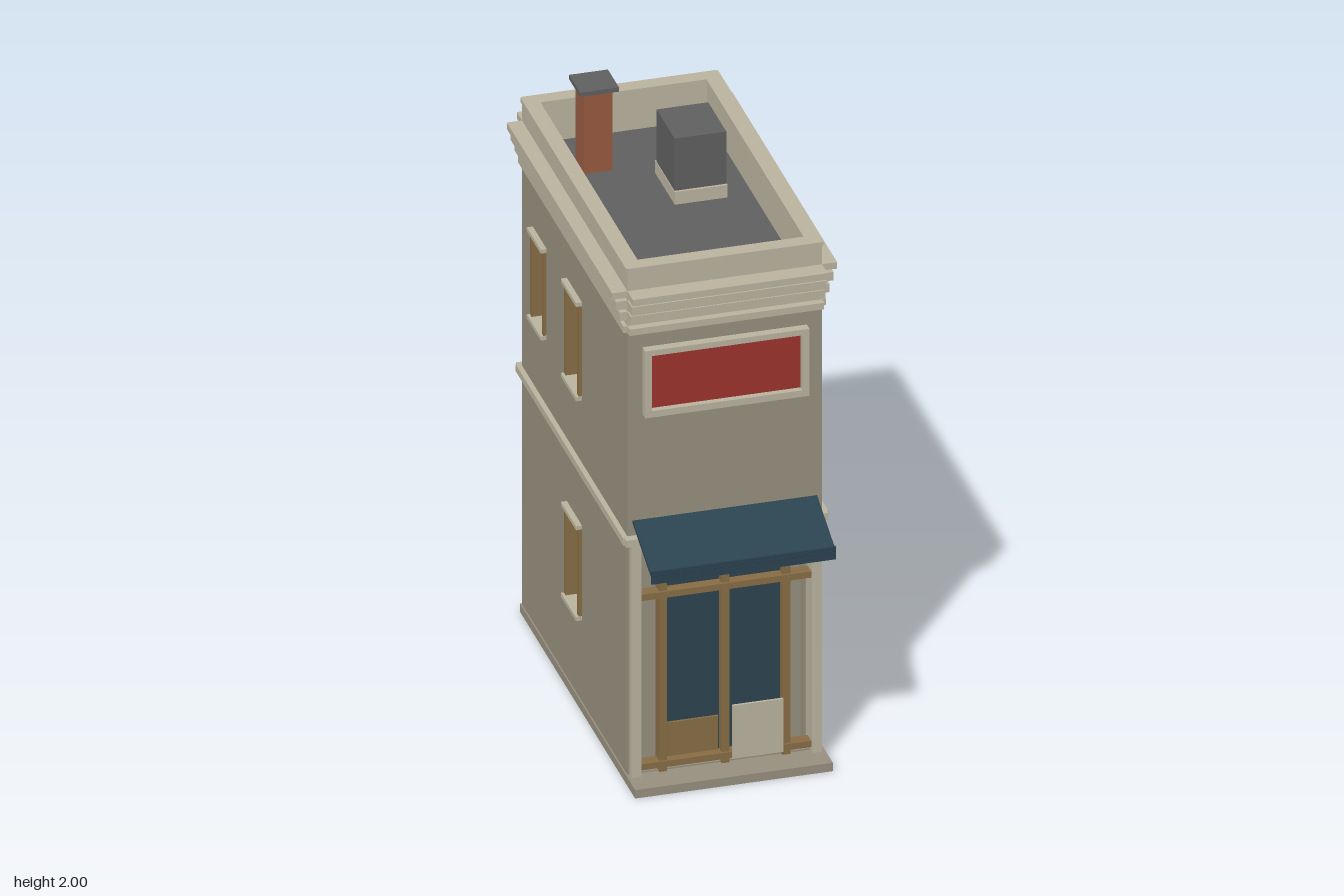
import * as THREE from 'three';

const mat = (name, color) => Object.assign(new THREE.MeshStandardMaterial({ color }), { name });
const M = {
  wall: mat('taupe wall', 0x968e7d),
  trim: mat('cream trim', 0xb9b29e),
  wood: mat('brown wood', 0x866c45),
  glass: mat('dark glass', 0x2d444f),
  awning: mat('navy awning', 0x2b4250),
  sign: mat('red sign', 0x9c332d),
  roof: mat('grey roof', 0x5f5f5f),
  brick: mat('brick', 0x96593f),
};

// box given by its min and max extents
function box(parent, name, m, x0, x1, y0, y1, z0, z1) {
  const mesh = new THREE.Mesh(new THREE.BoxGeometry(x1 - x0, y1 - y0, z1 - z0), m);
  mesh.position.set((x0 + x1) / 2, (y0 + y1) / 2, (z0 + z1) / 2);
  mesh.name = name;
  parent.add(mesh);
  return mesh;
}

function rect(Type, x0, x1, y0, y1) {
  const p = new Type();
  p.moveTo(x0, y0); p.lineTo(x1, y0); p.lineTo(x1, y1); p.lineTo(x0, y1); p.closePath();
  return p;
}

// rectangular panel with rectangular holes, front face on local z = z1
function panel(parent, name, m, outer, holes, z0, z1) {
  const shape = rect(THREE.Shape, ...outer);
  holes.forEach(h => shape.holes.push(rect(THREE.Path, ...h)));
  const geo = new THREE.ExtrudeGeometry(shape, { depth: z1 - z0, bevelEnabled: false });
  const mesh = new THREE.Mesh(geo, m);
  mesh.position.z = z0;
  mesh.name = name;
  parent.add(mesh);
}

// recessed window: u = centre along the wall, w = overall width, y0..y1 = overall height
function addWindow(parent, { u, w, y0, y1 }) {
  const g = new THREE.Group();
  g.name = 'window';
  g.position.x = u;
  const h = w / 2;
  box(g, 'windowGlass', M.glass, -h, h, y0, y1, -0.042, -0.033);
  box(g, 'windowSill', M.trim, -h - 0.003, h + 0.003, y0, y0 + 0.014, -0.033, 0.02);
  box(g, 'windowLintel', M.trim, -h - 0.003, h + 0.003, y1 - 0.014, y1, -0.033, 0.02);
  for (const s of [-1, 1]) {
    const a = s * h, b = s * (h - 0.018);
    box(g, 'windowJamb', M.wood, Math.min(a, b), Math.max(a, b), y0 + 0.014, y1 - 0.014, -0.033, 0.01);
  }
  parent.add(g);
}

const X = 0.32, ZB = -0.67, ZF = 0.515, ZC = (ZB + ZF) / 2, T = 0.045;
const TOP = 1.83, BAND = 1.61;

// one side of the building in a local frame, outward = +z
function facade(name, width, inset, windows, doors, proj) {
  const g = new THREE.Group();
  g.name = name;
  const h = width / 2, i = h - inset;
  const holes = windows.map(o => [o.u - o.w / 2, o.u + o.w / 2, o.y0, o.y1]).concat(doors);
  panel(g, 'wall', M.wall, [-i, i, 0.03, BAND], holes, -T, 0);
  box(g, 'parapet', M.trim, -i, i, BAND, TOP, -T, 0);
  box(g, 'coping', M.trim, -h, h, TOP, 1.845, -T - 0.002, 0.005);
  box(g, 'beltCourse', M.trim, -h - 0.012, h + 0.012, 0.86, 0.885, 0, 0.017 + proj);
  // stepped cornice
  [[1.615, 1.638, 0.013], [1.66, 1.69, 0.025], [1.7, 1.73, 0.038], [1.74, 1.763, 0.05]].forEach(([a, b, d]) =>
    box(g, 'corniceTier', M.trim, -h, h, a, b, 0, d + proj));
  windows.forEach(o => addWindow(g, o));
  return g;
}

export function createModel() {
  const root = new THREE.Group();
  root.name = 'shopBuilding';

  // base and roof
  box(root, 'baseSlab', M.wall, -0.325, 0.325, 0, 0.03, -0.675, 0.62);
  box(root, 'roofDeck', M.roof, -X + T, X - T, 1.68, 1.7, ZB + T, ZF - T);

  // four walls
  const sideWindows = s => [
    { u: s * (ZC + 0.08), w: 0.165, y0: 1.108, y1: 1.46 },
    { u: s * (ZC + 0.47), w: 0.15, y0: 1.12, y1: 1.446 },
    { u: s * (ZC + 0.08), w: 0.165, y0: 0.32, y1: 0.66 },
  ];
  for (const s of [1, -1]) {
    const side = facade(s > 0 ? 'leftSide' : 'rightSide', ZF - ZB, T, sideWindows(s), [], 0);
    side.rotation.y = s * Math.PI / 2;
    side.position.set(s * X, 0, ZC);
    root.add(side);
  }
  const backWindows = [];
  for (const u of [-0.14, 0.14])
    for (const y of [0.33, 1.1]) backWindows.push({ u, w: 0.165, y0: y, y1: y + 0.34 });
  const back = facade('backSide', 2 * X, 0, backWindows, [], 0.008);
  back.rotation.y = Math.PI;
  back.position.z = ZB;
  root.add(back);
  const front = facade('frontSide', 2 * X, 0, [], [[-0.28, 0.28, 0.035, 0.845]], 0.012);
  front.position.z = ZF;
  root.add(front);

  // storefront: recessed wall, glass bay, posts, rails and pilasters
  const shop = new THREE.Group();
  shop.name = 'storefront';
  root.add(shop);
  box(shop, 'recessWall', M.wall, -0.3, 0.3, 0.03, 0.86, 0.41, 0.425);
  box(shop, 'bayGlass', M.glass, -0.2, 0.2, 0.03, 0.85, 0.425, 0.495);
  for (const x of [-0.205, 0, 0.2])
    box(shop, 'post', M.wood, x - 0.013, x + 0.013, 0.03, 0.85, 0.485, 0.525);
  for (const y of [0.048, 0.655])
    box(shop, 'rail', M.wood, -0.288, 0.288, y, y + 0.022, 0.49, 0.532);
  box(shop, 'doorPanel', M.wood, -0.185, -0.018, 0.07, 0.19, 0.495, 0.503);
  box(shop, 'displayPanel', M.trim, 0.018, 0.185, 0.05, 0.24, 0.533, 0.542);
  for (const s of [-1, 1]) {
    const a = s * 0.28, b = s * 0.313;
    box(shop, 'pilaster', M.trim, Math.min(a, b), Math.max(a, b), 0.03, 0.86, 0.47, 0.54);
  }

  // awning: sloped plate with a hanging valance
  const awning = new THREE.Group();
  awning.name = 'awning';
  root.add(awning);
  const dz = 0.215, dy = 0.09;
  const slope = box(awning, 'awningCover', M.awning, -0.303, 0.303, -0.005, 0.005, 0, Math.hypot(dz, dy));
  slope.position.set(0, 0.935 - dy / 2, ZF + dz / 2);
  slope.rotation.x = Math.atan2(dy, dz);
  box(awning, 'awningValance', M.awning, -0.303, 0.303, 0.82, 0.865, 0.722, 0.731);

  // sign board
  const sign = new THREE.Group();
  sign.name = 'signBoard';
  root.add(sign);
  panel(sign, 'signFrame', M.trim, [-0.27, 0.27, 1.315, 1.555], [[-0.247, 0.247, 1.338, 1.535]], ZF, 0.545);
  box(sign, 'signFace', M.sign, -0.247, 0.247, 1.338, 1.535, ZF, 0.524);

  // rooftop unit and chimney
  box(root, 'unitCurb', M.trim, 0.018, 0.192, 1.7, 1.745, -0.33, -0.108);
  box(root, 'rooftopUnit', M.roof, 0.02, 0.19, 1.745, 1.932, -0.32, -0.117);
  box(root, 'chimney', M.brick, -0.2, -0.105, 1.7, 1.985, -0.48, -0.385);
  box(root, 'chimneyCap', M.roof, -0.216, -0.088, 1.985, 2, -0.497, -0.372);
  return root;
}
